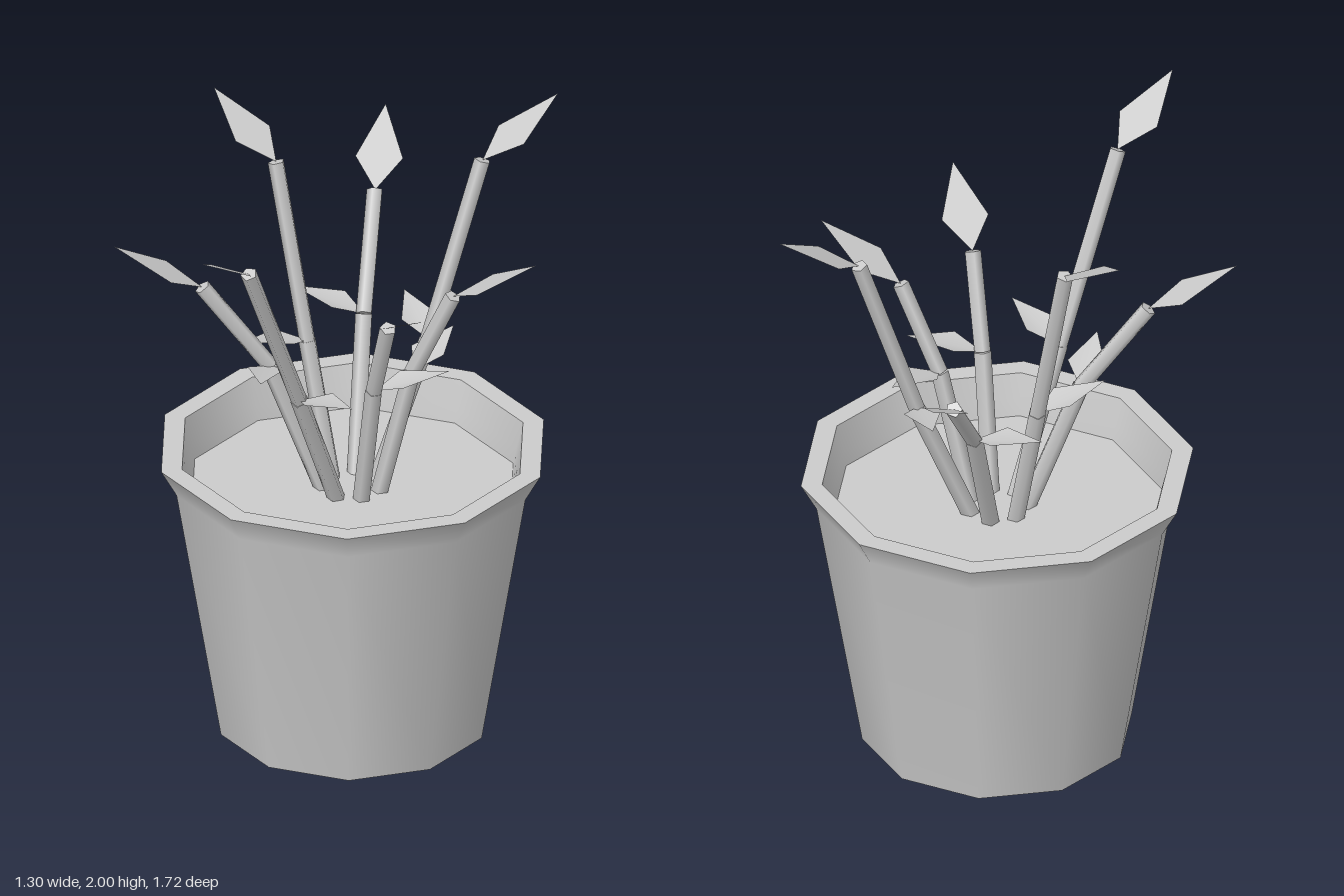
import * as THREE from 'three';

const material = new THREE.MeshStandardMaterial({ color: 0xcccccc, side: THREE.DoubleSide });
const SIDES = 10;
const SOIL_Y = 0.82;
const BEND_Y = 1.26;

function addMesh(parent, name, geometry) {
  const mesh = new THREE.Mesh(geometry, material);
  mesh.name = name;
  parent.add(mesh);
  return mesh;
}

// Ten-sided ring surface with a corner on the x axis
function lathe(points) {
  const profile = points.map(([r, y]) => new THREE.Vector2(r, y));
  return new THREE.LatheGeometry(profile, SIDES).rotateY(Math.PI / 2);
}

// Five-sided rod between two points
function rod(a, b, radius) {
  const dir = b.clone().sub(a);
  const geometry = new THREE.CylinderGeometry(radius, radius, dir.length(), 5);
  geometry.applyQuaternion(
    new THREE.Quaternion().setFromUnitVectors(new THREE.Vector3(0, 1, 0), dir.normalize()));
  const mid = a.clone().add(b).multiplyScalar(0.5);
  return geometry.translate(mid.x, mid.y, mid.z);
}

// Kite-shaped leaf along +x, folded on its spine, then pitched, turned and placed
function leaf(length, width, fold, pitch, heading, at) {
  const w = width / 2, m = length * 0.38;
  const geometry = new THREE.BufferGeometry();
  geometry.setAttribute('position', new THREE.Float32BufferAttribute(
    [0, 0, 0, m, fold, w, length, 0, 0, m, fold, -w], 3));
  geometry.setIndex([0, 1, 2, 0, 2, 3]);
  geometry.computeVertexNormals();
  return geometry.rotateZ(pitch).rotateY(-heading).translate(at.x, at.y, at.z);
}

export function createModel() {
  const model = new THREE.Group();
  model.name = 'pottedPlant';

  // Everything is arranged around the pot's axis
  const plant = new THREE.Group();
  plant.name = 'potAndPlant';
  plant.position.x = 0.025;
  model.add(plant);

  // Pot, as separate surfaces so the rim and base edges stay sharp
  addMesh(plant, 'potBase', lathe([[0, 0], [0.43, 0]]));
  addMesh(plant, 'potWall', lathe([[0.43, 0], [0.575, 0.87], [0.625, 0.96]]));
  addMesh(plant, 'potRim', lathe([[0.625, 0.96], [0.557, 0.96]]));
  addMesh(plant, 'potInnerWall', lathe([[0.557, 0.96], [0.535, 0.87], [0.525, SOIL_Y]]));
  addMesh(plant, 'soil', new THREE.CircleGeometry(0.525, SIDES).rotateX(-Math.PI / 2).translate(0, SOIL_Y, 0));

  // Seven stems: reach at the bend, reach at the top, height of the top
  const stems = [
    [0.20, 0.335, 1.55], [0.21, 0.345, 1.55], [0.31, 0.605, 1.84], [0.26, 0.474, 1.55],
    [0.20, 0.34, 1.84], [0.32, 0.605, 1.55], [0.28, 0.48, 1.84],
  ];
  stems.forEach(([bendR, topR, topY], i) => {
    const angle = (i / stems.length) * Math.PI * 2;
    const point = (r, y) => new THREE.Vector3(Math.cos(angle) * r, y, Math.sin(angle) * r);
    const base = point(0.09, SOIL_Y - 0.01);
    const bend = point(bendR, BEND_Y);
    const top = point(topR, topY);

    const shoot = new THREE.Group();
    shoot.name = `shoot${i + 1}`;
    plant.add(shoot);
    addMesh(shoot, 'lowerStem', rod(base, bend, 0.029));
    addMesh(shoot, 'upperStem', rod(bend, top, 0.027));
    addMesh(shoot, 'tipLeaf', leaf(0.32, 0.15, 0, 0.52, angle, top));
    addMesh(shoot, 'sideLeaf', leaf(0.245, 0.12, 0.015, 0.24, angle - 1.34, bend));
  });

  return model;
}
